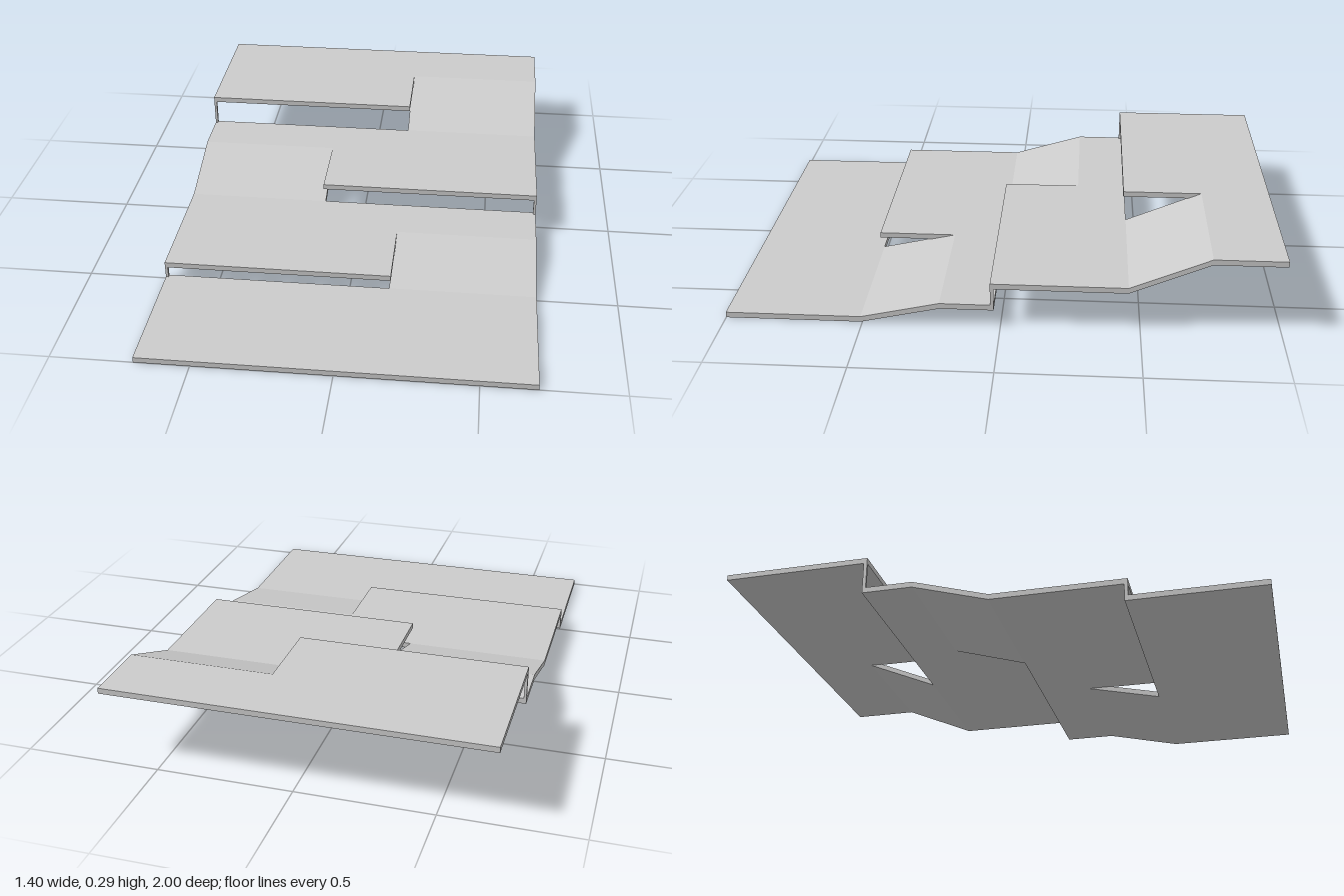
import * as THREE from 'three';

const HALF = 0.7;        // half width of the floor plates
const T = 0.021;         // plate thickness
const CUT = 0.157;       // inner edge of each ramp cut
const LAP = 0.013;       // lower plate reaches this far under the one above
const RUN = 0.3;         // length of a ramp cut

// Plates from front to back: underside height, front edge, side of the ramp leading up to it
const tiers = [
  { y: 0, front: 1, side: 0 },
  { y: 0.065, front: 0.52, side: 1 },
  { y: 0.151, front: 0.037, side: -1 },
  { y: 0.274, front: -0.44, side: 1 },
];

const material = new THREE.MeshStandardMaterial({ color: 0xcccccc });

function addMesh(group, name, geometry) {
  const mesh = new THREE.Mesh(geometry, material);
  mesh.name = name;
  group.add(mesh);
}

// Flat plate with a rectangular notch at the front where the ramp arrives
function plateGeometry(tier, back) {
  const { y, front, side } = tier;
  const s = side || 1;
  const outline = side === 0
    ? [[-HALF, front], [HALF, front], [HALF, back], [-HALF, back]]
    : [[-s * HALF, front], [s * CUT, front], [s * CUT, front - RUN],
       [s * HALF, front - RUN], [s * HALF, back], [-s * HALF, back]];
  const shape = new THREE.Shape(outline.map(([x, z]) => new THREE.Vector2(x, -z)));
  const geometry = new THREE.ExtrudeGeometry(shape, { depth: T, bevelEnabled: false });
  return geometry.rotateX(-Math.PI / 2).translate(0, y, 0);
}

// Sloping plate, a parallelogram in side profile
function rampGeometry(lower, upper) {
  const z0 = upper.front - LAP, z1 = upper.front - RUN;
  const shape = new THREE.Shape([
    new THREE.Vector2(z0, lower.y), new THREE.Vector2(z0, lower.y + T),
    new THREE.Vector2(z1, upper.y + T), new THREE.Vector2(z1, upper.y),
  ]);
  const inner = CUT - 0.006;
  const geometry = new THREE.ExtrudeGeometry(shape, { depth: HALF - inner, bevelEnabled: false });
  return geometry.rotateY(-Math.PI / 2).translate(upper.side > 0 ? HALF : -inner, 0, 0);
}

// Slim corner post holding up the free corner of a plate
function postGeometry(lower, upper) {
  const w = 0.01, bottom = lower.y + T, h = upper.y - bottom;
  return new THREE.BoxGeometry(w, h, LAP)
    .translate(-upper.side * (HALF - w / 2), bottom + h / 2, upper.front - LAP / 2);
}

export function createModel() {
  const group = new THREE.Group();
  group.name = 'splitLevelRamps';
  tiers.forEach((tier, i) => {
    const next = tiers[i + 1];
    addMesh(group, `floorPlate${i + 1}`, plateGeometry(tier, next ? next.front - LAP : -1));
    if (next) {
      addMesh(group, `ramp${i + 1}`, rampGeometry(tier, next));
      addMesh(group, `cornerPost${i + 1}`, postGeometry(tier, next));
    }
  });
  return group;
}
